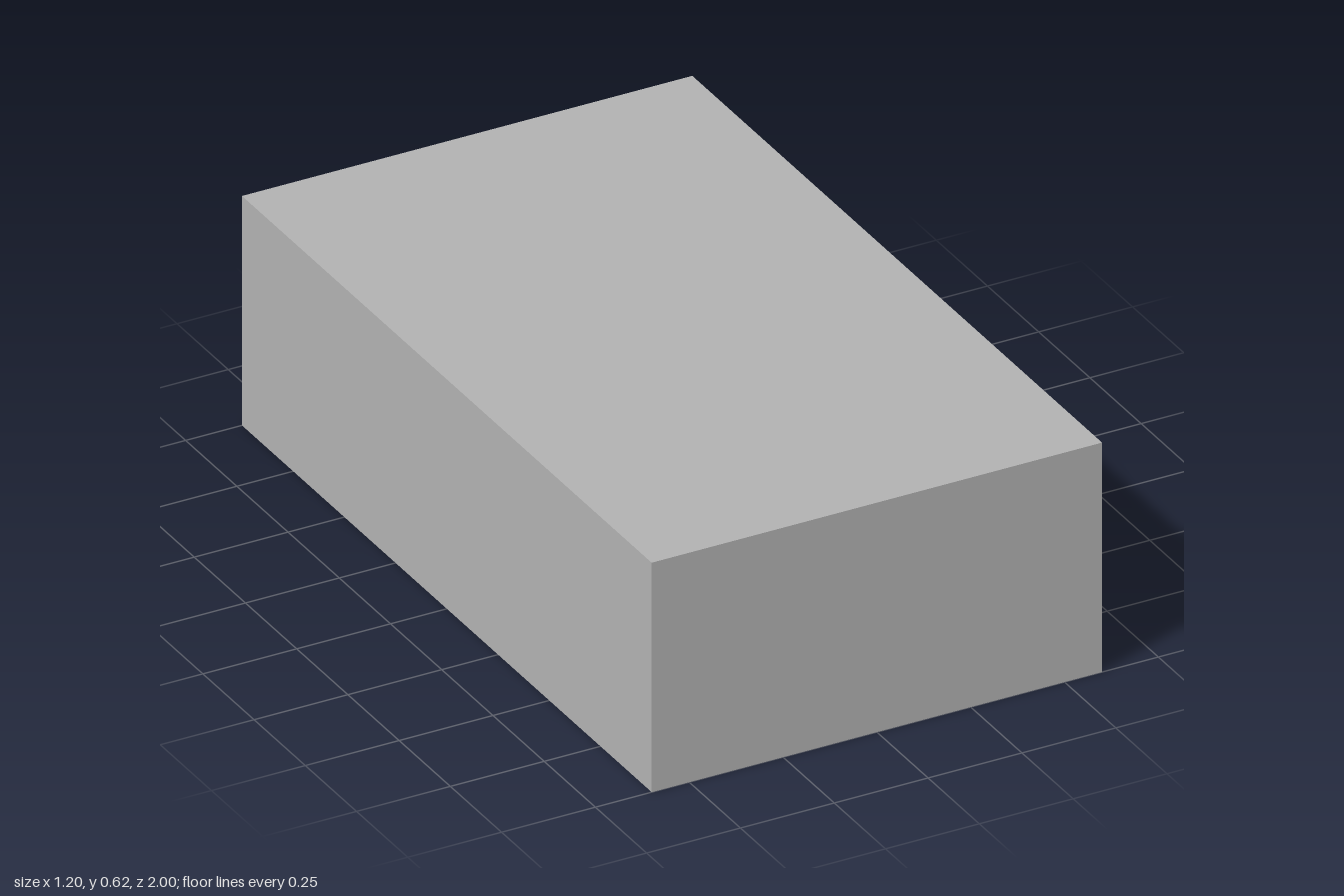
import * as THREE from 'three';

const W = 1.2, H = 0.615, L = 2;
const PLATE_Y = 0.063, SLOT_DEPTH = 0.11, FLOOR_Y = PLATE_Y + SLOT_DEPTH;
const SLOT_X = 0.46, SLOT_IN = 0.14, SLOT_OUT = 0.41, ARM_X = 0.08, ARM_OUT = 0.63;

const polygon = (pts, Type = THREE.Shape) => new Type(pts.map(([x, z]) => new THREE.Vector2(x, z)));
const rect = (x, z) => [[-x, -z], [x, -z], [x, z], [-x, z]];

// Horizontal slab from an outline in x and z, between two heights
function slab(shape, y0, y1) {
  const g = new THREE.ExtrudeGeometry(shape, { depth: y1 - y0, bevelEnabled: false });
  g.rotateX(Math.PI / 2);
  g.translate(0, y1, 0);
  return g;
}

export function createModel() {
  const group = new THREE.Group();
  const grey = new THREE.MeshStandardMaterial({ color: 0xb2b2b2, side: THREE.DoubleSide });
  grey.name = 'plainGrey';
  const add = (name, geometry, x = 0, y = 0, z = 0) => {
    const mesh = new THREE.Mesh(geometry, grey);
    mesh.name = name;
    mesh.position.set(x, y, z);
    group.add(mesh);
    return mesh;
  };

  // Thin outer case, open underneath: drop the box's bottom face
  const shell = new THREE.BoxGeometry(W, H, L);
  const index = Array.from(shell.index.array);
  index.splice(18, 6);
  shell.setIndex(index);
  shell.clearGroups();
  add('outerCase', shell, 0, H / 2, 0);

  // Recessed base plate with two T-shaped slots and a centre socket
  const plate = polygon(rect(W / 2 - 0.001, L / 2 - 0.001));
  for (const s of [-1, 1]) {
    plate.holes.push(polygon([
      [-SLOT_X, s * SLOT_IN], [SLOT_X, s * SLOT_IN], [SLOT_X, s * SLOT_OUT],
      [ARM_X, s * SLOT_OUT], [ARM_X, s * ARM_OUT], [-ARM_X, s * ARM_OUT],
      [-ARM_X, s * SLOT_OUT], [-SLOT_X, s * SLOT_OUT],
    ], THREE.Path));
  }
  plate.holes.push(polygon(rect(0.06, 0.06), THREE.Path));
  add('basePlate', slab(plate, PLATE_Y, FLOOR_Y));

  // Slightly raised band across the middle of the base
  const band = polygon(rect(W / 2 - 0.001, 0.125));
  band.holes.push(polygon(rect(0.06, 0.06), THREE.Path));
  add('centreBand', slab(band, PLATE_Y - 0.009, PLATE_Y));
  add('socketFloor', slab(polygon(rect(0.06, 0.06)), 0.095, 0.1));

  // Slot floors, and finger ramps rising out of the arms
  const run = ARM_OUT - SLOT_OUT;
  for (const s of [-1, 1]) {
    add('slotFloor', slab(polygon(rect(SLOT_X, (SLOT_OUT - SLOT_IN) / 2)), FLOOR_Y, FLOOR_Y + 0.005),
      0, 0, s * (SLOT_IN + SLOT_OUT) / 2);
    const ramp = new THREE.PlaneGeometry(ARM_X * 2, Math.hypot(run, SLOT_DEPTH));
    ramp.rotateX(Math.PI / 2 + s * Math.atan2(SLOT_DEPTH, run));
    add('fingerRamp', ramp, 0, PLATE_Y + SLOT_DEPTH / 2, s * (SLOT_OUT + ARM_OUT) / 2);
  }
  return group;
}
